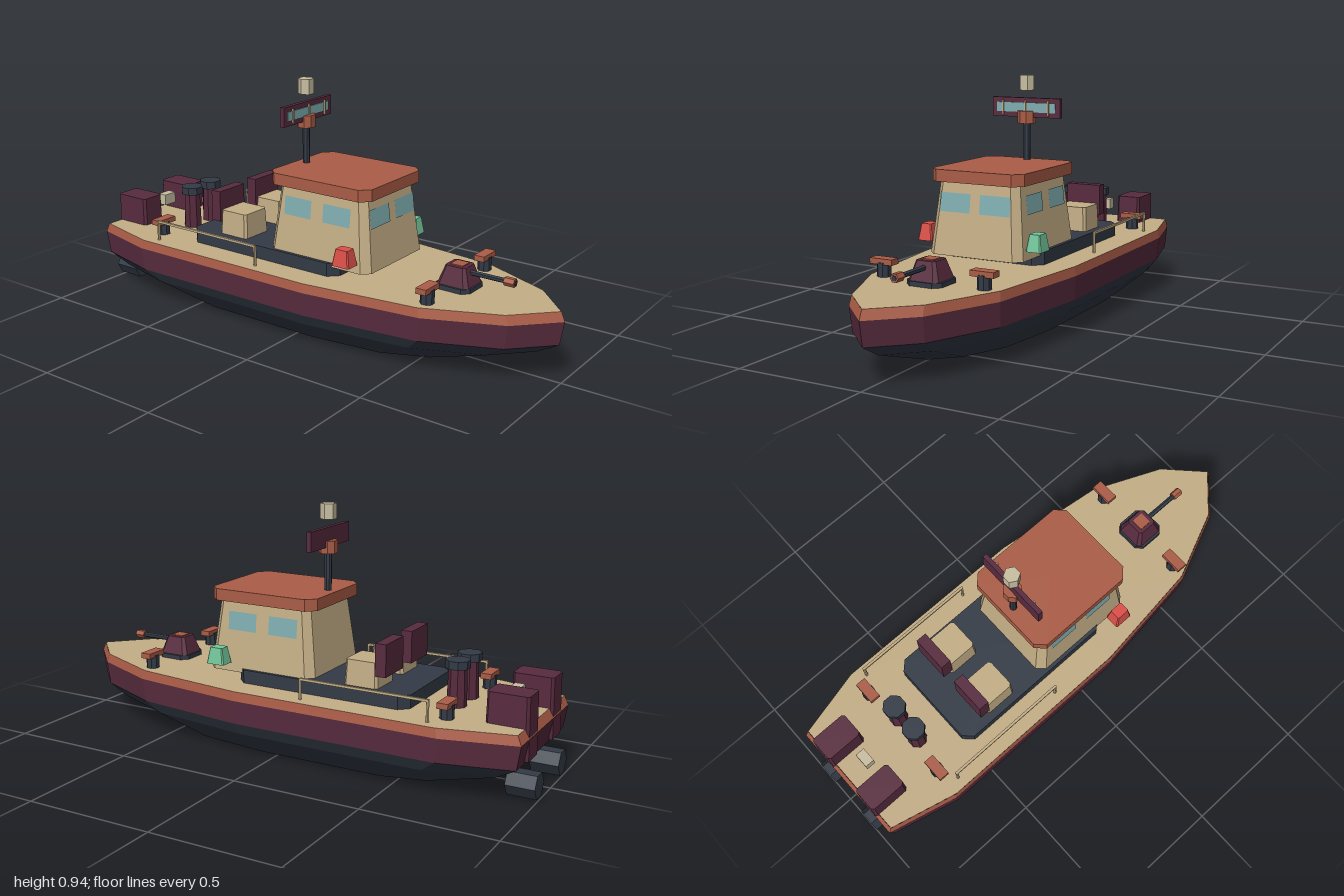
import * as THREE from 'three';

const mat = (name, color) => {
  const m = new THREE.MeshStandardMaterial({ color, flatShading: true });
  m.name = name;
  return m;
};

// Flat-sided solid through rings [y, [[x, z], ...]], ordered front -> left -> back -> right
function loft(rings, capBottom = true, capTop = true) {
  const pos = [];
  const n = rings[0][1].length;
  const pt = ([y, ring], i) => [ring[i % n][0], y, ring[i % n][1]];
  const mid = ([y, ring]) => [0, y, ring.reduce((s, p) => s + p[1], 0) / n];
  const tri = (a, b, c) => pos.push(...a, ...b, ...c);
  for (let r = 0; r < rings.length - 1; r++) {
    for (let i = 0; i < n; i++) {
      const a = pt(rings[r], i), b = pt(rings[r], i + 1);
      const c = pt(rings[r + 1], i + 1), d = pt(rings[r + 1], i);
      tri(a, b, c);
      tri(a, c, d);
    }
  }
  const last = rings[rings.length - 1];
  for (let i = 0; i < n; i++) {
    if (capBottom) tri(mid(rings[0]), pt(rings[0], i + 1), pt(rings[0], i));
    if (capTop) tri(mid(last), pt(last, i), pt(last, i + 1));
  }
  const g = new THREE.BufferGeometry();
  g.setAttribute('position', new THREE.Float32BufferAttribute(pos, 3));
  g.computeVertexNormals();
  return g;
}

// Rectangle with cut corners; w and d are half sizes
const cut = (w, d, c, s = 1) => [
  [-w + c, d], [w - c, d], [w, d - c], [w, -d + c],
  [w - c, -d], [-w + c, -d], [-w, -d + c], [-w, d - c],
].map(([x, z]) => [x * s, z * s]);

// Tapered block with cut corners, standing between y0 and y1
const block = (w, d, c, y0, y1, s = 1) => loft([[y0, cut(w, d, c)], [y1, cut(w, d, c, s)]]);

export function createModel() {
  const boat = new THREE.Group();
  boat.name = 'patrolBoat';
  const navy = mat('navy', 0x333b47);
  const plum = mat('plum', 0x582b3e);
  const rust = mat('rust', 0xab5d47);
  const tan = mat('tan', 0xc4ae86);
  const glass = mat('glass', 0x7fadb0);
  const red = mat('portRed', 0xdc5049);
  const green = mat('starboardGreen', 0x72c79a);
  const pale = mat('pale', 0xc9bfa2);

  const add = (name, geo, material, x = 0, y = 0, z = 0) => {
    const m = new THREE.Mesh(geo, material);
    m.name = name;
    m.position.set(x, y, z);
    boat.add(m);
    return m;
  };
  const box = (w, h, d) => new THREE.BoxGeometry(w, h, d);
  const cyl = (rt, rb, h, n, turn = 0) => new THREE.CylinderGeometry(rt, rb, h, n).rotateY(turn);

  // Hull: one outline scaled at each level
  const half = [[0.145, 0.86], [0.267, 0.58], [0.323, 0.12], [0.323, -0.7], [0.255, -0.972]];
  const outline = [[0, 1], ...half, ...half.slice().reverse().map(([x, z]) => [-x, z])];
  const level = (y, s) => [y, outline.map(([x, z]) => [x * s, z * s])];
  add('lowerHull', loft([level(0, 0.61), level(0.093, 0.9), level(0.14, 0.985)], true, false), navy);
  add('upperHull', loft([level(0.14, 0.985), level(0.23, 1)], false, false), plum);
  add('gunwale', loft([level(0.23, 1), level(0.265, 0.985)], false, false), rust);
  add('deck', loft([level(0.264, 0.984), level(0.265, 0.984)], false, true), tan);

  // Raised platform, cabin and roof
  add('platform', block(0.207, 0.356, 0.035, 0.26, 0.316), navy, 0, 0, -0.177);
  const cz = 0.085, y0 = 0.3, y1 = 0.575, w = 0.195, d = 0.23, taper = 0.85;
  add('cabin', block(w, d, 0.03, y0, y1, taper), tan, 0, 0, cz);
  add('roof', block(0.192, 0.227, 0.035, 0.57, 0.615), rust, 0, 0, 0.08);

  // Windows: quads lying just off the sloped cabin walls
  const shrink = (y) => 1 - (1 - taper) * (y - y0) / (y1 - y0);
  const pane = (name, corner, a, b) => {
    const g = new THREE.BufferGeometry();
    const p = [corner(a, 0.46), corner(b, 0.46), corner(b, 0.53), corner(a, 0.53)];
    g.setAttribute('position', new THREE.Float32BufferAttribute(p.flat(), 3));
    g.setIndex([0, 1, 2, 0, 2, 3]);
    g.computeVertexNormals();
    add(name, g, glass);
  };
  const onFront = (x, y) => [x, y, cz + d * shrink(y) + 0.003];
  const onLeft = (z, y) => [w * shrink(y) + 0.003, y, z];
  const onRight = (z, y) => [-w * shrink(y) - 0.003, y, z];
  pane('frontWindow', onFront, -0.146, -0.02);
  pane('frontWindow', onFront, 0.02, 0.146);
  for (const [front, back] of [[0.227, 0.105], [0.05, -0.072]]) {
    pane('leftWindow', onLeft, front, back);
    pane('rightWindow', onRight, back, front);
  }

  // Mast with display board and beacon
  const mz = -0.105;
  add('mast', cyl(0.014, 0.014, 0.16, 8), navy, 0, 0.69, mz);
  add('mastHead', cyl(0.036, 0.036, 0.048, 8, Math.PI / 8), rust, 0, 0.781, mz);
  add('board', box(0.294, 0.075, 0.018), plum, 0, 0.818, mz);
  add('boardPanel', box(0.254, 0.036, 0.006), glass, 0, 0.818, mz + 0.01);
  for (const x of [-0.098, 0, 0.098]) {
    add('boardBar', box(0.007, 0.058, 0.006), tan, x, 0.817, mz + 0.015);
  }
  add('beacon', cyl(0.031, 0.031, 0.058, 6, Math.PI / 6), pale, 0, 0.914, mz);

  // Bow gun
  const gz = 0.585;
  add('gunBase', block(0.07, 0.07, 0.025, 0.265, 0.282), navy, 0, 0, gz);
  add('gunTurret', block(0.063, 0.066, 0.015, 0.275, 0.35, 0.62), plum, 0, 0, gz);
  add('gunHatch', box(0.05, 0.008, 0.05), rust, 0, 0.35, gz);
  add('gunBarrel', cyl(0.01, 0.01, 0.18, 6).rotateX(Math.PI / 2), navy, 0, 0.327, 0.7);
  add('gunMuzzle', cyl(0.017, 0.017, 0.04, 6, Math.PI / 6).rotateX(Math.PI / 2), rust, 0, 0.327, 0.787);
  add('gunBore', cyl(0.01, 0.01, 0.004, 6, Math.PI / 6).rotateX(Math.PI / 2), navy, 0, 0.327, 0.807);

  // Small case at the stern
  add('sternCase', box(0.06, 0.045, 0.038), pale, 0, 0.333, -0.862);

  // Mirrored fittings
  for (const s of [-1, 1]) {
    add('navigationLight', block(0.031, 0.038, 0.005, 0.337, 0.4, 0.7), s < 0 ? red : green, s * 0.229, 0, 0.24);

    for (const z of [0.575, -0.685]) {
      add('cleatPost', cyl(0.026, 0.026, 0.055, 8, Math.PI / 8), navy, s * 0.204, 0.289, z);
      add('cleatBar', box(0.092, 0.021, 0.042), rust, s * 0.204, 0.32, z);
    }

    add('railing', box(0.01, 0.009, 0.505), tan, s * 0.275, 0.342, -0.395);
    for (const z of [-0.142, -0.643]) {
      add('railingPost', cyl(0.006, 0.006, 0.08, 6), tan, s * 0.275, 0.304, z);
    }

    add('seat', block(0.07, 0.068, 0.01, 0.31, 0.412, 0.92), tan, s * 0.108, 0, -0.335);
    add('seatBack', box(0.145, 0.122, 0.043), plum, s * 0.108, 0.426, -0.416);

    add('exhaustPipe', cyl(0.033, 0.037, 0.15, 8, Math.PI / 8), plum, s * 0.056, 0.335, -0.66);
    add('exhaustCap', cyl(0.045, 0.045, 0.03, 8, Math.PI / 8), navy, s * 0.056, 0.421, -0.66);

    add('outboardMotor', block(0.054, 0.08, 0.01, 0.148, 0.377, 0.95), plum, s * 0.128, 0, -0.892);
    add('propellerPod', cyl(0.049, 0.049, 0.108, 6, Math.PI / 6).rotateX(Math.PI / 2), navy, s * 0.128, 0.053, -0.946);
  }
  return boat;
}
